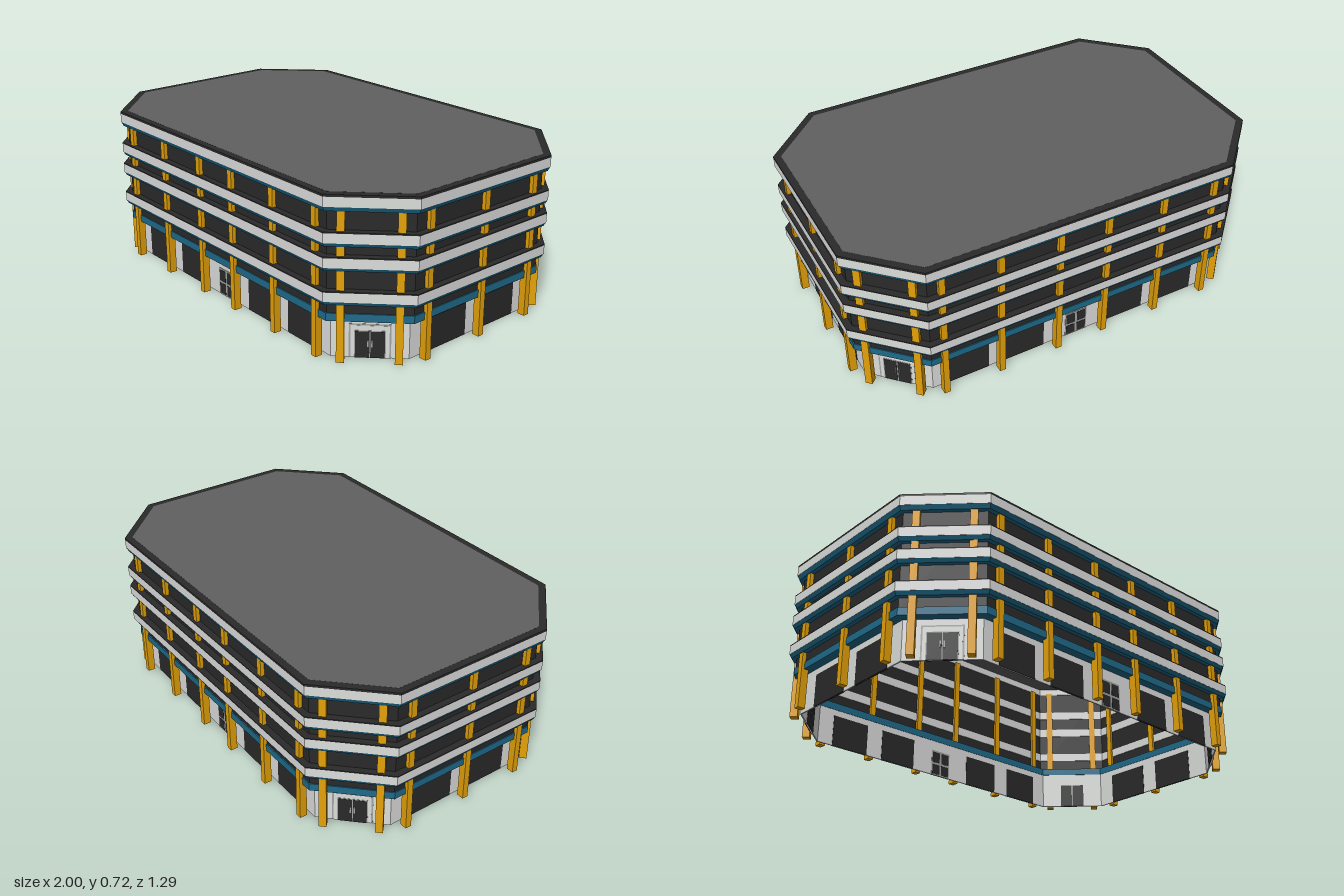
import * as THREE from 'three';

const mat = (name, color) => Object.assign(new THREE.MeshStandardMaterial({ color }), { name });
const white = mat('pale concrete', 0xdcdedc);
const grey = mat('grey frame', 0xa2a4a2);
const gold = mat('gold paint', 0xe4a208);
const blue = mat('blue paint', 0x1f6a8a);
const dark = mat('dark glass and trim', 0x2a2a2a);
const roofGrey = mat('roof grey', 0x606060);

// Corners of the chamfered plan, inset by d from the outer edge
function plan(d) {
  const k = d * Math.tan(Math.PI / 8);
  const a = 0.739 - k, b = 0.643 - d, c = 1 - d, e = 0.382 - k;
  return [[-a, b], [a, b], [c, e], [c, -e], [a, -b], [-a, -b], [-c, -e], [-c, e]];
}

// Sweeps a closed profile of [inset, y] points around the plan
// (order: outer bottom, outer top, inner top, inner bottom)
function ring(profile) {
  const pos = [];
  const loops = profile.map(([d, y]) => plan(d).map(([x, z]) => [x, y, z]));
  loops.forEach((low, i) => {
    const high = loops[(i + 1) % loops.length];
    for (let j = 0; j < 8; j++) {
      const n = (j + 1) % 8;
      pos.push(...low[j], ...low[n], ...high[n], ...low[j], ...high[n], ...high[j]);
    }
  });
  const g = new THREE.BufferGeometry();
  g.setAttribute('position', new THREE.Float32BufferAttribute(pos, 3));
  g.computeVertexNormals();
  return g;
}
const boxRing = (d0, d1, y0, y1) => ring([[d0, y0], [d0, y1], [d1, y1], [d1, y0]]);

// Solid slab with the chamfered plan
function slab(d, y0, y1) {
  const shape = new THREE.Shape(plan(d).map(([x, z]) => new THREE.Vector2(x, -z)));
  const g = new THREE.ExtrudeGeometry(shape, { depth: y1 - y0, bevelEnabled: false });
  return g.rotateX(-Math.PI / 2).translate(0, y0, 0);
}

const WALL = 0.065; // inset of the ground floor wall

export function createModel() {
  const model = new THREE.Group();
  model.name = 'parkingBuilding';
  const add = (parent, name, geometry, material) => {
    const m = new THREE.Mesh(geometry, material);
    m.name = name;
    parent.add(m);
    return m;
  };
  // Box on a facade: x along the wall, y range, inset range measured inwards
  const panel = (side, name, material, x, w, y0, y1, d0, d1) =>
    add(side, name, new THREE.BoxGeometry(w, y1 - y0, d1 - d0), material)
      .position.set(x, (y0 + y1) / 2, -(d0 + d1) / 2);

  // Walls
  add(model, 'groundWall', boxRing(WALL, WALL + 0.006, 0, 0.178), white);
  add(model, 'groundFascia', boxRing(0.025, 0.073, 0.177, 0.211), blue);
  add(model, 'upperWall', boxRing(0.03, 0.034, 0.2, 0.7), dark);

  // Parapet bands: bevelled blue foot, pale face, dark cap
  for (const [foot, face, top, cap] of [
    [0.254, 0.271, 0.316, 0.005], [0.399, 0.415, 0.461, 0.005],
    [0.501, 0.518, 0.564, 0.005], [0.646, 0.666, 0.717, 0.01],
  ]) {
    add(model, 'bandFoot', ring([[0.01, foot], [0.001, face], [0.032, face], [0.032, foot]]), blue);
    add(model, 'bandFace', boxRing(0, 0.037, face, top - cap), white);
    add(model, 'bandCap', boxRing(0, 0.037, top - cap, top), dark);
  }

  // Roof
  add(model, 'roofPanel', slab(0.032, 0.7, 0.7174), roofGrey);

  const column = (side, x, w) => panel(side, 'column', gold, x, w, 0, 0.67, 0.012, 0.046);

  const shopWindow = (side, x, w) =>
    panel(side, 'window', dark, x, w, 0, 0.148, WALL - 0.002, WALL + 0.0075);

  // Double entrance with four panes
  function entrance(side) {
    panel(side, 'entranceFrame', grey, 0, 0.11, 0, 0.128, WALL - 0.002, WALL + 0.007);
    for (const s of [-1, 1]) {
      for (const [y0, y1] of [[0.006, 0.056], [0.066, 0.12]]) {
        panel(side, 'entrancePane', dark, s * 0.0275, 0.044, y0, y1, WALL - 0.003, WALL + 0.0075);
      }
    }
  }

  // Corner double door with surround and handles
  function cornerDoor(side) {
    panel(side, 'doorSurround', grey, 0, 0.17, 0, 0.15, WALL - 0.001, WALL + 0.005);
    panel(side, 'doorPanel', white, 0, 0.156, 0, 0.143, WALL - 0.002, WALL + 0.005);
    panel(side, 'doorFrame', grey, 0, 0.128, 0, 0.121, WALL - 0.003, WALL + 0.005);
    for (const s of [-1, 1]) {
      panel(side, 'doorLeaf', dark, s * 0.031, 0.058, 0, 0.117, WALL - 0.004, WALL + 0.0075);
      panel(side, 'doorHandle', grey, s * 0.008, 0.005, 0.05, 0.08, WALL - 0.008, WALL - 0.003);
    }
  }

  // Eight facades, alternating straight walls and chamfered corners
  for (let i = 0; i < 8; i++) {
    const angle = i * Math.PI / 4;
    const side = new THREE.Group();
    const sx = Math.sign(Math.round(Math.sin(angle) * 10));
    const sz = Math.sign(Math.round(Math.cos(angle) * 10));
    const corner = i % 2 === 1;
    side.position.set(sx * (corner ? 0.8695 : 1), 0, sz * (corner ? 0.5125 : 0.643));
    side.rotation.y = angle;
    model.add(side);
    if (corner) {
      side.name = 'cornerFacade';
      [-0.117, 0.117].forEach(x => column(side, x, 0.032));
      cornerDoor(side);
    } else if (i % 4 === 0) {
      side.name = 'longFacade';
      [-0.668, -0.4, -0.118, 0.118, 0.4, 0.668].forEach(x => column(side, x, 0.028));
      [-0.537, -0.262, 0.262, 0.537].forEach(x => shopWindow(side, x, 0.19));
      entrance(side);
    } else {
      side.name = 'shortFacade';
      [-0.302, 0.011, 0.304].forEach(x => column(side, x, 0.028));
      [-0.14, 0.159].forEach(x => shopWindow(side, x, 0.217));
    }
  }
  return model;
}
